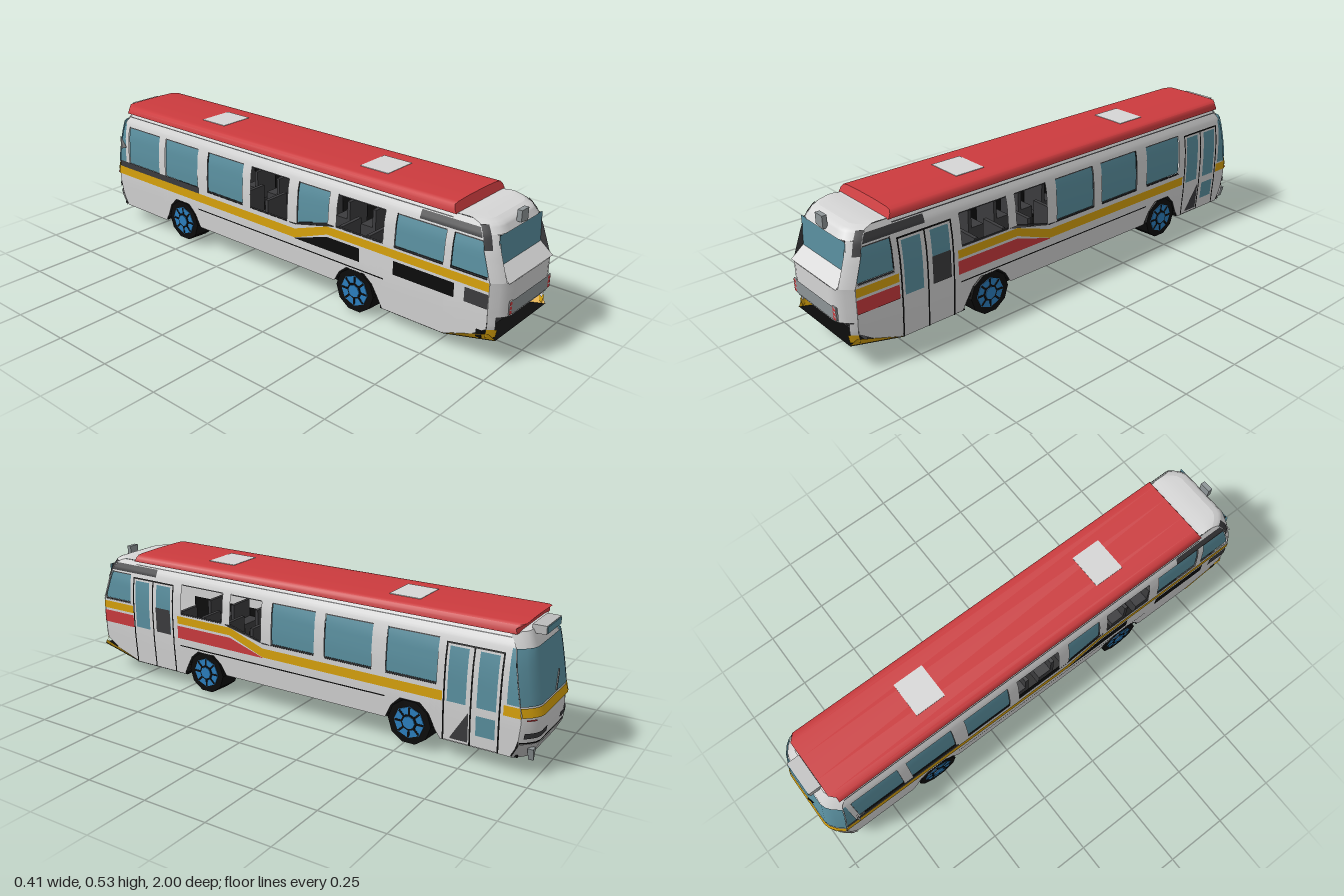
import * as THREE from 'three';
import { toCreasedNormals } from 'three/addons/utils/BufferGeometryUtils.js';

const mat = (name, color) => new THREE.MeshStandardMaterial({ name, color, side: THREE.DoubleSide });
const WHITE = mat('body white', 0xd6d6d6), RED = mat('roof red', 0xcc3b3e), GLASS = mat('window glass', 0x5b91a1),
  YELLOW = mat('stripe yellow', 0xd9a30c), BLACK = mat('black', 0x0c0c0c), DARK = mat('dark grey', 0x3c3c3e),
  GREY = mat('light grey', 0xbcbcbc), BLUE = mat('wheel blue', 0x2b7fc0), PANEL = mat('panel grey', 0x8f9698);

const CX = 0.013, CORNER = 0.05;
// piecewise-linear lookup
const lookup = (table, t) => {
  for (let i = 1; i < table.length; i++) {
    const [a, va] = table[i - 1], [b, vb] = table[i];
    if (t <= b) return va + (vb - va) * Math.max(0, (t - a) / (b - a));
  }
  return table[table.length - 1][1];
};
const halfWidth = y => lookup([[0.06, 0.176], [0.2, 0.184], [0.33, 0.184], [0.41, 0.178], [0.46, 0.165], [0.5, 0.146]], y);
const rearZ = y => lookup([[0.1, 0.99], [0.15, 1], [0.31, 1], [0.46, 0.95], [0.49, 0.93], [0.5, 0.9]], y);
const noseZ = y => lookup([[0.07, 0.96], [0.12, 0.985], [0.22, 0.995], [0.26, 0.985], [0.46, 0.95], [0.5, 0.92]], y);
const sill = z => lookup([[0.11, 0.275], [0.27, 0.32]], z);

export function createModel() {
  const bus = new THREE.Group();
  bus.name = 'bus';
  const add = (name, geo, material, x = 0, y = 0, z = 0, parent = bus) => {
    const m = new THREE.Mesh(geo, material);
    m.name = name;
    m.position.set(x, y, z);
    parent.add(m);
    return m;
  };
  const box = (name, m, w, h, d, x, y, z) => add(name, new THREE.BoxGeometry(w, h, d), m, x, y, z);
  const shape = pts => new THREE.Shape(pts.map(p => new THREE.Vector2(...p)));

  // grid surface from a rule f(u, v) -> [x, y, z]
  const surface = (name, m, f, nu, nv) => {
    const pos = [], idx = [];
    for (let j = 0; j <= nv; j++) for (let i = 0; i <= nu; i++) pos.push(...f(i / nu, j / nv));
    for (let j = 0; j < nv; j++) for (let i = 0; i < nu; i++) {
      const a = j * (nu + 1) + i, b = a + nu + 1;
      idx.push(a, a + 1, b, a + 1, b + 1, b);
    }
    const g = new THREE.BufferGeometry();
    g.setAttribute('position', new THREE.Float32BufferAttribute(pos, 3));
    g.setIndex(idx);
    g.computeVertexNormals();
    return add(name, g, m);
  };
  // panel on a side wall: z range, lower and upper y at each z
  const side = (name, m, s, zA, zB, loA, hiA, loB = loA, hiB = hiA, off = 0) =>
    surface(name, m, (u, v) => {
      const lo = loA + (loB - loA) * u, hi = hiA + (hiB - hiA) * u, y = lo + (hi - lo) * v;
      const z = Math.min(Math.max(zA + (zB - zA) * u, -noseZ(y) + CORNER), rearZ(y) - CORNER);
      return [CX + s * (halfWidth(y) + off), y, z];
    }, 2, 6);
  const flat = (name, m, s, zA, zB, lo, hi, off = 0.003) => side(name, m, s, zA, zB, lo, hi, lo, hi, off);
  // panel on an end wall (e = 1 tail, -1 nose), u across from -1 to 1
  const cornerDrop = u => CORNER * Math.max(0, (Math.abs(u) - 0.6) / 0.4) ** 2;
  const end = (name, m, e, u0, u1, y0, y1, off = 0) =>
    surface(name, m, (a, b) => {
      const u = u0 + (u1 - u0) * a, y = y0 + (y1 - y0) * b;
      const z = (e > 0 ? rearZ(y) : noseZ(y)) - cornerDrop(u) + off;
      return [CX + u * (halfWidth(y) + off), y, e * z];
    }, 16, 6);

  const skirt = [[1, 0.14], [0.78, 0.06], [0.52, 0.06], [0.5, 0.1], [0.475, 0.145], [0.44, 0.174], [0.36, 0.174],
    [0.325, 0.145], [0.3, 0.1], [0.11, 0.1], [-0.43, 0.1], [-0.455, 0.155], [-0.49, 0.19], [-0.57, 0.19], [-0.605, 0.155],
    [-0.63, 0.1], [-0.65, 0.07], [-1, 0.07]];
  const stripe = [[1, 0.28, 0.312], [0.27, 0.28, 0.312], [0.11, 0.22, 0.257], [-1, 0.22, 0.257]];
  // window bays along each side: start, end, glazed
  const bays = {
    1: [[0.94, 0.8, 1], [0.52, 0.31, 0], [0.27, 0.12, 0], [0.07, -0.125, 1], [-0.17, -0.37, 1], [-0.43, -0.63, 1]],
    '-1': [[0.94, 0.8, 1], [0.77, 0.57, 1], [0.52, 0.31, 0], [0.27, 0.12, 1], [0.07, -0.125, 0], [-0.17, -0.37, 1],
      [-0.43, -0.63, 1], [-0.67, -0.87, 1]],
  };

  for (const s of [1, -1]) {
    // lower wall with wheel arches
    for (let i = 1; i < skirt.length; i++) {
      const [a, ya] = skirt[i - 1], [b, yb] = skirt[i];
      side('lowerWall', WHITE, s, a, b, ya, sill(a), yb, sill(b));
    }
    // window band: glass or open bays with pillars between
    let z = 1;
    for (const [a, b, glazed] of bays[s]) {
      side('pillar', WHITE, s, z, a, sill(z), 0.445, sill(a));
      if (glazed) side('sideWindow', GLASS, s, a, b, sill(a) + 0.006, 0.44, sill(b) + 0.006, 0.44, -0.004);
      side('windowSill', DARK, s, a, b, sill(a), sill(a) + 0.006, sill(b), sill(b) + 0.006, -0.002);
      flat('windowTopFrame', DARK, s, a, b, 0.44, 0.445, -0.002);
      z = b;
    }
    side('pillar', WHITE, s, z, -1, sill(z), 0.445);
    flat('upperWall', WHITE, s, 1, -1, 0.445, 0.5, 0);
    flat('gutter', DARK, s, 0.78, -0.9, 0.484, 0.488, 0.002);
    flat('innerLining', BLACK, s, 0.75, -0.85, 0.115, 0.27, -0.012);

    // painted stripes, broken at the doors
    const cuts = s > 0 ? [[1, 0.785], [0.54, 0.27], [0.27, 0.11], [0.11, -0.655], [-0.88, -1]]
      : [[1, 0.27], [0.27, 0.11], [0.11, -1]];
    const low = stripe.map(p => [p[0], p[1]]).reverse(), high = stripe.map(p => [p[0], p[2]]).reverse();
    for (const [a, b] of cuts)
      side('yellowStripe', YELLOW, s, a, b, lookup(low, a), lookup(high, a), lookup(low, b), lookup(high, b), 0.003);
    const lower = s > 0 ? [[1, 0.785, RED], [0.54, 0.27, RED], [0.27, 0.11, RED]]
      : [[1, 0.86, DARK], [0.82, 0.57, BLACK], [0.42, 0.27, BLACK], [0.27, 0.11, BLACK]];
    for (const [a, b, m] of lower)
      side('lowerStripe', m, s, a, b, 0.217, 0.27, 0.217, b > 0.2 ? 0.27 : 0.219, 0.003);
    flat('skirtSeam', BLACK, s, 0.53, -0.43, 0.183, 0.188);
    flat('cornerVent', DARK, s, 0.95, 0.66, 0.452, 0.482);
    flat('noseSideGlass', GLASS, s, -0.89, -1, 0.262, 0.455, 0.002);
    // slanted trim under the tail overhang
    surface('tailTrim', YELLOW, (u, v) => {
      const top = 0.064 + 0.064 * u, y = top + (0.056 + 0.048 * u - top) * v;
      return [CX + s * (halfWidth(top) + 0.003 + (0.165 - halfWidth(top)) * v), y, 0.78 + 0.2 * u - 0.02 * u * (1 - v)];
    }, 2, 2);

    // wheels: housing, tyre, hub, spokes, cap
    for (const [wz, wy] of [[0.4, 0.092], [-0.53, 0.104]]) {
      box('wheelHousing', BLACK, 0.09, 0.09, 0.17, CX + s * 0.12, 0.155, wz);
      const wheel = new THREE.Group();
      wheel.name = 'wheel';
      wheel.position.set(CX + s * 0.135, wy, wz);
      wheel.rotation.z = -s * Math.PI / 2;
      bus.add(wheel);
      const disc = (name, r, h, m, y, n) => add(name, toCreasedNormals(new THREE.CylinderGeometry(r * 0.95, r, h, n), 0.3), m, 0, y, 0, wheel);
      disc('tyre', 0.09, 0.094, BLACK, 0, 10);
      disc('hub', 0.064, 0.012, BLUE, 0.043, 8);
      disc('hubRing', 0.034, 0.005, BLACK, 0.048, 8);
      disc('hubCap', 0.026, 0.008, BLUE, 0.049, 8);
      for (let k = 0; k < 4; k++)
        add('hubSlot', new THREE.BoxGeometry(0.116, 0.003, 0.008), BLACK, 0, 0.0485, 0, wheel).rotation.y = k * Math.PI / 4;
    }
  }
  flat('sillShadow', DARK, -1, -0.42, -0.93, 0.257, 0.284);

  // doors on the left side
  for (const [a, b, lo] of [[0.78, 0.56, 0.062], [-0.66, -0.87, 0.075]]) {
    const mid = (a + b) / 2;
    flat('door', WHITE, 1, a, b, lo, 0.435, 0.004);
    for (const dz of [a, mid + 0.004, b + 0.005]) flat('doorSeam', BLACK, 1, dz, dz - 0.006, lo, 0.435, 0.006);
    flat('doorTopSeam', BLACK, 1, a, b, 0.432, 0.438, 0.006);
    flat('doorGlassRear', GLASS, 1, a - 0.015, mid + 0.02, 0.225, 0.425, 0.006);
    flat('doorGlassFront', GLASS, 1, mid - 0.02, b + 0.015, 0.225, 0.425, 0.006);
  }
  flat('doorShade', DARK, 1, 0.652, 0.575, 0.225, 0.33, 0.008);
  flat('doorLowerGlass', GLASS, 1, -0.785, -0.855, 0.12, 0.195, 0.006);
  side('doorStep', DARK, 1, -0.69, -0.757, 0.085, 0.09, 0.085, 0.2, 0.006);

  // tail end with a recessed window above a sloping ledge
  end('tailLower', WHITE, 1, -1, 1, 0.185, 0.31);
  end('tailUpper', WHITE, 1, -1, 1, 0.461, 0.5);
  end('tailPlate', PANEL, 1, -0.73, 0.76, 0.193, 0.244, 0.004);
  const GLASS_Z = 0.95, EDGE = 0.78;
  const tailPane = (name, m, w, y0, z0, y1, z1) =>
    surface(name, m, (u, v) => [CX + (u * 2 - 1) * w, y0 + (y1 - y0) * v, z0 + (z1 - z0) * v], 1, 1);
  tailPane('tailLedge', WHITE, 0.145, 0.31, 0.999, 0.351, GLASS_Z);
  tailPane('tailWindow', GLASS, 0.14, 0.351, GLASS_Z, 0.462, GLASS_Z - 0.003);
  for (const s of [1, -1]) {
    end('tailPost', WHITE, 1, s * EDGE, s, 0.31, 0.461);
    surface('windowCheek', DARK, (u, v) => {
      const y = 0.31 + 0.151 * v, outer = rearZ(y) - cornerDrop(EDGE), inner = Math.max(GLASS_Z - 0.003, 0.99 - 1.2 * (y - 0.31));
      return [CX + s * EDGE * halfWidth(y), y, outer + (inner - outer) * u];
    }, 1, 6);
    end('tailCornerGrille', DARK, 1, s * 0.9, s, 0.415, 0.49, 0.002);
    end('tailCornerLower', WHITE, 1, s * 0.9, s, 0.128, 0.185);
    end('tailCornerTrim', YELLOW, 1, s * 0.87, s, 0.108, 0.14, 0.002);
  }
  const lamp = new THREE.ShapeGeometry(shape([[0, 0], [0.02, 0], [0.02, 0.008], [0, 0.015]]));
  for (const x of [-0.123, 0.131]) {
    box('lampBacking', GREY, 0.02, 0.05, 0.004, x + 0.01, 0.219, 1);
    for (let k = 0; k < 3; k++) add('tailLamp', lamp, RED, x, 0.195 + k * 0.0165, 1.003);
  }
  box('engineBay', DARK, 0.33, 0.1, 0.02, CX, 0.14, 0.9);
  box('engine', DARK, 0.16, 0.028, 0.02, CX - 0.01, 0.128, 0.92);
  box('engineTop', BLACK, 0.16, 0.006, 0.02, CX - 0.01, 0.15, 0.92);
  box('engineSide', BLACK, 0.09, 0.08, 0.02, -0.122, 0.14, 0.92);

  // nose end
  end('noseBumper', GREY, -1, -1, 1, 0.07, 0.125, 0.004);
  end('nosePanel', WHITE, -1, -1, 1, 0.12, 0.5);
  end('noseStripe', YELLOW, -1, -1, 1, 0.224, 0.257, 0.004);
  end('windscreen', GLASS, -1, -1, 1, 0.262, 0.455, 0.004);
  end('noseSeam', BLACK, -1, -1, 1, 0.126, 0.132, 0.004);
  for (const s of [-1, 1]) {
    end('headlampRecess', DARK, -1, s * 0.35, s * 0.95, 0.146, 0.166, 0.004);
    end('indicator', RED, -1, s * 0.8, s * 0.95, 0.212, 0.218, 0.004);
  }
  const wiper = box('wiper', BLACK, 0.004, 0.075, 0.004, CX - 0.03, 0.3, -0.985);
  wiper.rotation.set(0.16, 0, 0.6);

  // roof: white deck, dark ceiling, red cover, hatches
  for (const [name, m, y] of [['roofDeck', WHITE, 0.5], ['ceiling', DARK, 0.494]])
    surface(name, m, (u, v) => [CX + (u * 2 - 1) * 0.144, y, -0.87 + v * 1.72], 1, 1);
  for (const e of [1, -1]) surface('roofCap', WHITE, (u, v) => {
    const a = u * 2 - 1, edge = (e > 0 ? 0.9 : 0.92) - cornerDrop(a);
    return [CX + a * 0.146, 0.5 + 0.003 * Math.sin(v * Math.PI), e * (0.8 + (edge - 0.8) * v)];
  }, 16, 3);
  const profile = shape([[-0.154, 0.498], [0.154, 0.498], [0.152, 0.515], [0.142, 0.526], [0.12, 0.529], [0.05, 0.531],
    [-0.05, 0.531], [-0.12, 0.529], [-0.142, 0.526], [-0.152, 0.515]]);
  const cover = new THREE.ExtrudeGeometry(profile, { depth: 1.72, bevelEnabled: false, steps: 1 }).translate(0, 0, -0.93);
  const p = cover.attributes.position;
  for (let i = 0; i < p.count; i++) { // lean the ends inwards and clip the nose corners
    const z = p.getZ(i), clip = z < 0 ? Math.max(0, Math.abs(p.getX(i)) - 0.12) : 0;
    p.setZ(i, z - Math.sign(z) * (p.getY(i) - 0.498) * 0.5 + clip);
  }
  add('roofCover', toCreasedNormals(cover, 0.85), RED, CX);
  for (const z of [-0.44, 0.39]) box('roofHatch', WHITE, 0.145, 0.004, 0.125, CX, 0.5305, z);
  box('signBox', GREY, 0.14, 0.03, 0.05, CX, 0.5, -0.94);
  box('signGlass', GLASS, 0.13, 0.024, 0.004, CX, 0.5, -0.966);

  // rear camera, mirror and tow spur
  const fin = (name, m, pts, depth, z) =>
    add(name, new THREE.ExtrudeGeometry(shape(pts), { depth, bevelEnabled: false }), m, 0, 0, z);
  fin('rearCamera', PANEL, [[-0.01, 0.515], [-0.01, 0.474], [0.035, 0.468], [0.035, 0.515]], 0.018, 0.938);
  fin('mirror', GREY, [[-0.204, 0.414], [-0.204, 0.357], [-0.18, 0.357]], 0.006, -0.88);
  fin('towSpur', PANEL, [[0.15, 0.11], [0.163, 0.065], [0.176, 0.11]], 0.02, -0.985);

  // underside
  const W = 0.345;
  box('floor', BLACK, W, 0.012, 1.17, CX, 0.108, -0.07);
  box('noseFloor', BLACK, W, 0.01, 0.29, CX, 0.076, -0.79);
  box('tailFloor', BLACK, W, 0.01, 0.27, CX, 0.062, 0.645);
  surface('tailRamp', BLACK, (u, v) => [CX + (u - 0.5) * W, 0.057 + 0.048 * v, 0.78 + 0.2 * v], 1, 1);

  // seats
  for (let i = 0; i < 10; i++) for (const s of [1, -1]) {
    const z = -0.6 + i * 0.125;
    box('seat', DARK, 0.11, 0.08, 0.06, CX + s * 0.1, 0.2, z);
    box('seatBack', DARK, 0.11, 0.13, 0.015, CX + s * 0.1, 0.25, z + 0.035);
  }
  return bus;
}
